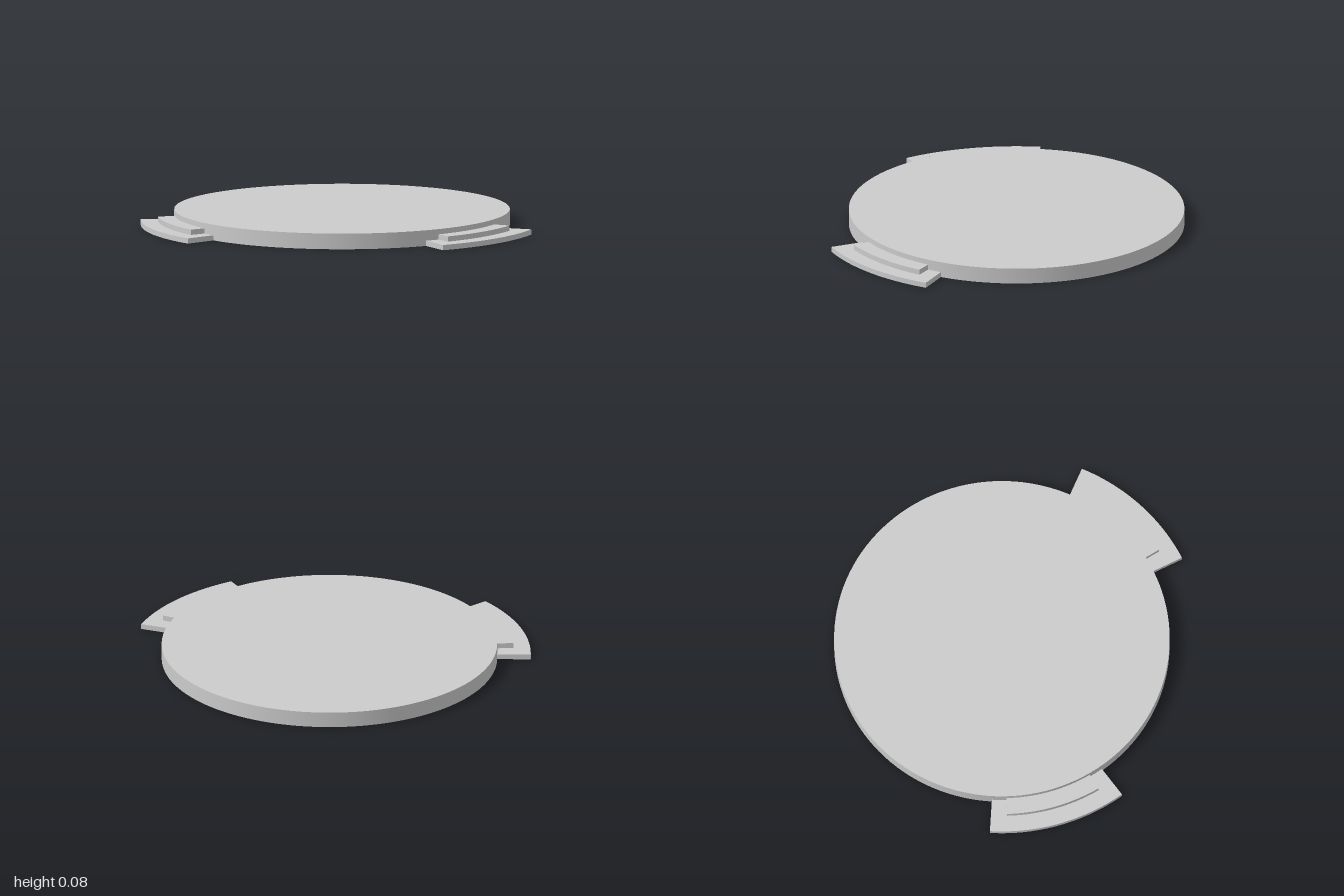
import * as THREE from 'three';
import { toCreasedNormals } from 'three/addons/utils/BufferGeometryUtils.js';

const DISC_RADIUS = 0.847;
const STEP_HEIGHT = 0.08 / 3;
const rad = THREE.MathUtils.degToRad;

// Flat ring sector between two angles (degrees, measured from +x towards +z).
function ringSector(outer, from, to, y, height) {
  const inner = DISC_RADIUS - 0.002;
  const shape = new THREE.Shape();
  shape.absarc(0, 0, outer, rad(from), rad(to), false);
  shape.absarc(0, 0, inner, rad(to), rad(from), true);
  shape.closePath();
  const geometry = new THREE.ExtrudeGeometry(shape, { depth: height, bevelEnabled: false, curveSegments: 24 });
  geometry.rotateX(Math.PI / 2);
  geometry.translate(0, y + height, 0);
  return toCreasedNormals(geometry, rad(30));
}

export function createModel() {
  const model = new THREE.Group();
  model.name = 'steppedPlatform';
  const material = new THREE.MeshStandardMaterial({ color: 0xcccccc });

  const add = (parent, name, geometry) => {
    const mesh = new THREE.Mesh(geometry, material);
    mesh.name = name;
    parent.add(mesh);
  };

  // Round stage
  const disc = new THREE.CylinderGeometry(DISC_RADIUS, DISC_RADIUS, 3 * STEP_HEIGHT, 128);
  disc.translate(0, 1.5 * STEP_HEIGHT, 0);
  add(model, 'platformDisc', disc);

  // Two curved flights of steps, mirrored across x = 0
  for (const side of ['left', 'right']) {
    const stairs = new THREE.Group();
    stairs.name = side + 'Stairs';
    const span = (a, b) => (side === 'left' ? [a, b] : [180 - b, 180 - a]);
    add(stairs, side + 'LowerStep', ringSector(1.016, ...span(10, 50), 0, STEP_HEIGHT));
    add(stairs, side + 'UpperStep', ringSector(0.932, ...span(15, 45), STEP_HEIGHT, STEP_HEIGHT));
    model.add(stairs);
  }

  return model;
}
